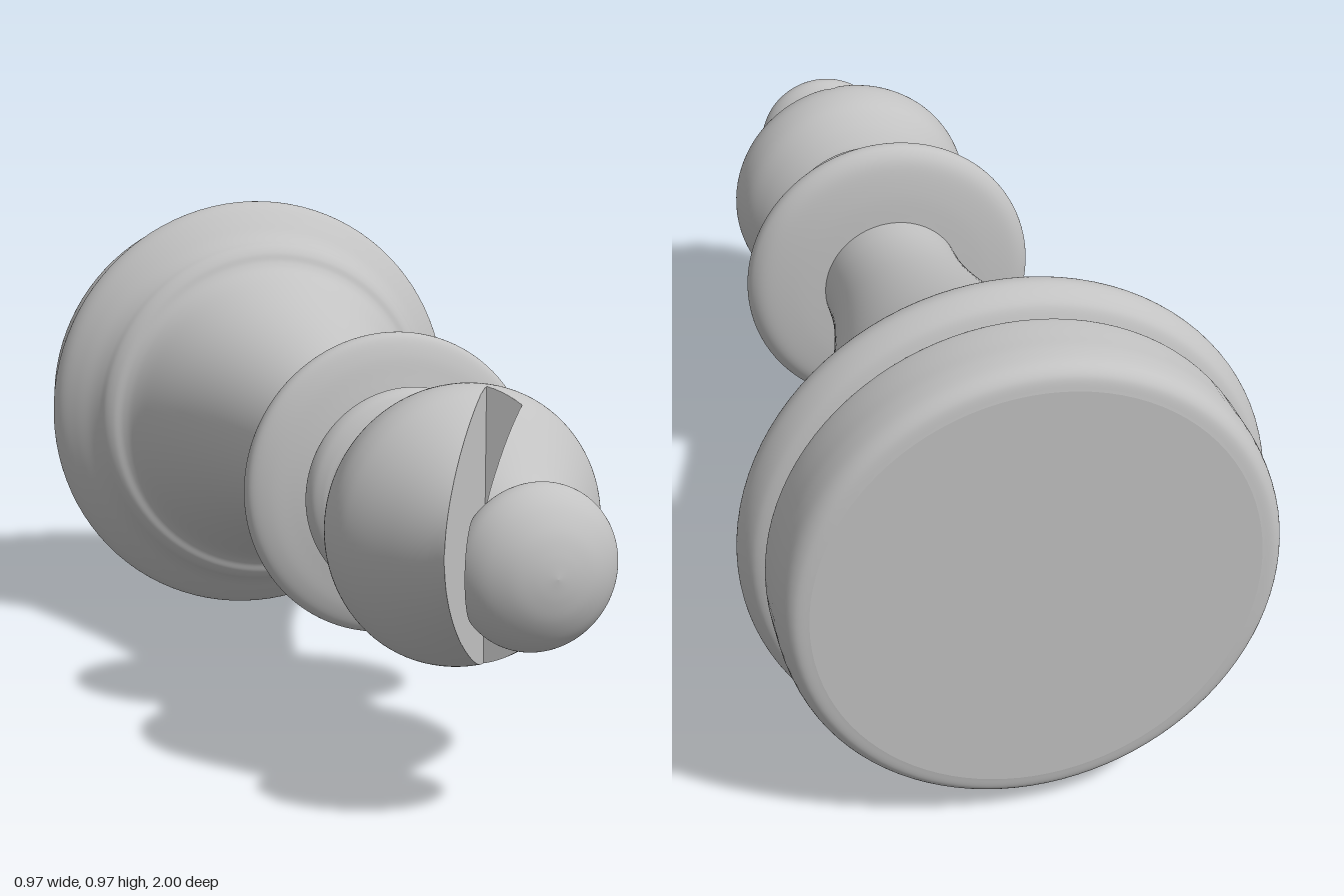
import * as THREE from 'three';

const AXIS_Y = 0.485, SIDES = 96;

// Slot in the head: a band between two parallel planes (in x, z), closed at one end
const N = [0.788, 0.615], U = [-0.615, 0.788];
const C0 = 0.395, C1 = 0.462, T0 = 0.453, T1 = 0.92;
const across = v => v[0] * N[0] + v[2] * N[1];
const along = v => v[0] * U[0] + v[2] * U[1];

// Smooth profile through [radius, z] points
function profile(pts, steps = 6) {
  const curve = new THREE.SplineCurve(pts.map(p => new THREE.Vector2(p[0], p[1])));
  return curve.getPoints((pts.length - 1) * steps).map(p => p.setX(Math.max(0, p.x)));
}

// Turned solid lying along z
function turned(points) {
  return new THREE.LatheGeometry(points, SIDES).rotateX(Math.PI / 2);
}

// Keep the part of a polygon where f >= 0
function clip(poly, f) {
  const out = [];
  poly.forEach((a, i) => {
    const b = poly[(i + 1) % poly.length], fa = f(a), fb = f(b);
    if (fa >= 0) out.push(a);
    if ((fa >= 0) !== (fb >= 0)) out.push(a.map((v, k) => v + (b[k] - v) * fa / (fa - fb)));
  });
  return out;
}

// Remove the slot from a surface
function cutSlot(geometry) {
  const g = geometry.toNonIndexed(), p = g.attributes.position, n = g.attributes.normal;
  const pos = [], nor = [];
  for (let i = 0; i < p.count; i += 3) {
    const tri = [i, i + 1, i + 2].map(j =>
      [p.getX(j), p.getY(j), p.getZ(j), n.getX(j), n.getY(j), n.getZ(j)]);
    const below = clip(tri, v => C0 - across(v));
    const above = clip(tri, v => across(v) - C1);
    const band = clip(clip(clip(tri, v => across(v) - C0), v => C1 - across(v)), v => T0 - along(v));
    for (const poly of [below, above, band]) {
      for (let k = 2; k < poly.length; k++) {
        for (const v of [poly[0], poly[k - 1], poly[k]]) {
          pos.push(...v.slice(0, 3));
          nor.push(...v.slice(3));
        }
      }
    }
  }
  const out = new THREE.BufferGeometry();
  out.setAttribute('position', new THREE.Float32BufferAttribute(pos, 3));
  out.setAttribute('normal', new THREE.Float32BufferAttribute(nor, 3));
  return out;
}

// Flat walls of the slot, as tall as the turned profile at each point
function slotWalls(points) {
  const radius = z => {
    for (let i = 1; i < points.length; i++) {
      const a = points[i - 1], b = points[i];
      if (z >= a.y && z <= b.y) return a.x + (b.x - a.x) * (z - a.y) / (b.y - a.y || 1);
    }
    return 0;
  };
  const corners = [[C0, T1], [C0, T0], [C1, T0], [C1, T1]];
  const at = (c, t) => {
    const x = c * N[0] + t * U[0], z = c * N[1] + t * U[1];
    return [x, Math.sqrt(Math.max(0, radius(z) ** 2 - x * x)), z];
  };
  const pos = [], steps = 90;
  for (let w = 0; w < 3; w++) {
    const [a, b] = [corners[w], corners[w + 1]];
    const point = k => at(a[0] + (b[0] - a[0]) * k / steps, a[1] + (b[1] - a[1]) * k / steps);
    for (let k = 0; k < steps; k++) {
      const [x, h, z] = point(k), [X, H, Z] = point(k + 1);
      if (h + H === 0) continue;
      pos.push(x, h, z, x, -h, z, X, -H, Z, x, h, z, X, -H, Z, X, H, Z);
    }
  }
  const g = new THREE.BufferGeometry();
  g.setAttribute('position', new THREE.Float32BufferAttribute(pos, 3));
  g.computeVertexNormals();
  return g;
}

export function createModel() {
  const model = new THREE.Group();
  const grey = new THREE.MeshStandardMaterial({ color: 0xc2c2c2 });
  grey.name = 'grey';
  const add = (name, geometry) => {
    const mesh = new THREE.Mesh(geometry, grey);
    mesh.name = name;
    mesh.position.y = AXIS_Y;
    model.add(mesh);
  };

  // Base: flat underside and rounded drum
  add('underside', turned([new THREE.Vector2(0, -1), new THREE.Vector2(0.4, -1)]));
  add('baseDrum', turned(profile([
    [0.4, -1], [0.425, -0.994], [0.441, -0.975], [0.448, -0.94], [0.449, -0.9],
    [0.449, -0.86], [0.447, -0.84], [0.44, -0.829]])));

  // Flared moulding running smoothly into the tapered stem
  add('mouldingAndStem', turned(profile([
    [0.44, -0.829], [0.463, -0.818], [0.479, -0.795], [0.485, -0.77], [0.476, -0.742],
    [0.448, -0.71], [0.42, -0.682], [0.404, -0.66], [0.394, -0.64], [0.378, -0.625],
    [0.357, -0.615], [0.338, -0.595], [0.315, -0.55], [0.275, -0.45], [0.24, -0.345],
    [0.205, -0.22], [0.178, -0.11], [0.16, -0.02], [0.15, 0.06], [0.147, 0.138]])));

  // Collar disc and neck rings
  add('collar', turned(profile([
    [0.147, 0.138], [0.21, 0.142], [0.27, 0.152], [0.298, 0.168], [0.306, 0.187],
    [0.298, 0.206], [0.265, 0.221], [0.22, 0.231], [0.185, 0.238]])));
  add('neckRings', turned(profile([
    [0.185, 0.238], [0.188, 0.248], [0.2, 0.261], [0.209, 0.276], [0.211, 0.29],
    [0.204, 0.307], [0.188, 0.32], [0.175, 0.328], [0.171, 0.342], [0.171, 0.358],
    [0.175, 0.371], [0.188, 0.381], [0.196, 0.394], [0.197, 0.407], [0.192, 0.421],
    [0.179, 0.432], [0.17, 0.442]])));

  // Head and finial with the slanted slot
  const head = profile([
    [0.17, 0.442], [0.188, 0.451], [0.222, 0.48], [0.252, 0.52], [0.265, 0.57], [0.261, 0.61],
    [0.241, 0.65], [0.194, 0.717], [0.149, 0.777], [0.13, 0.805], [0.114, 0.828], [0.104, 0.846],
    [0.103, 0.858]]);
  const finial = profile([
    [0.103, 0.858], [0.11, 0.866], [0.129, 0.875], [0.143, 0.89], [0.149, 0.91], [0.142, 0.933],
    [0.118, 0.96], [0.08, 0.983], [0.04, 0.995], [0, 1]]);
  add('head', cutSlot(turned(head)));
  add('finial', cutSlot(turned(finial)));
  add('slotWalls', slotWalls([...head, ...finial]));

  return model;
}
